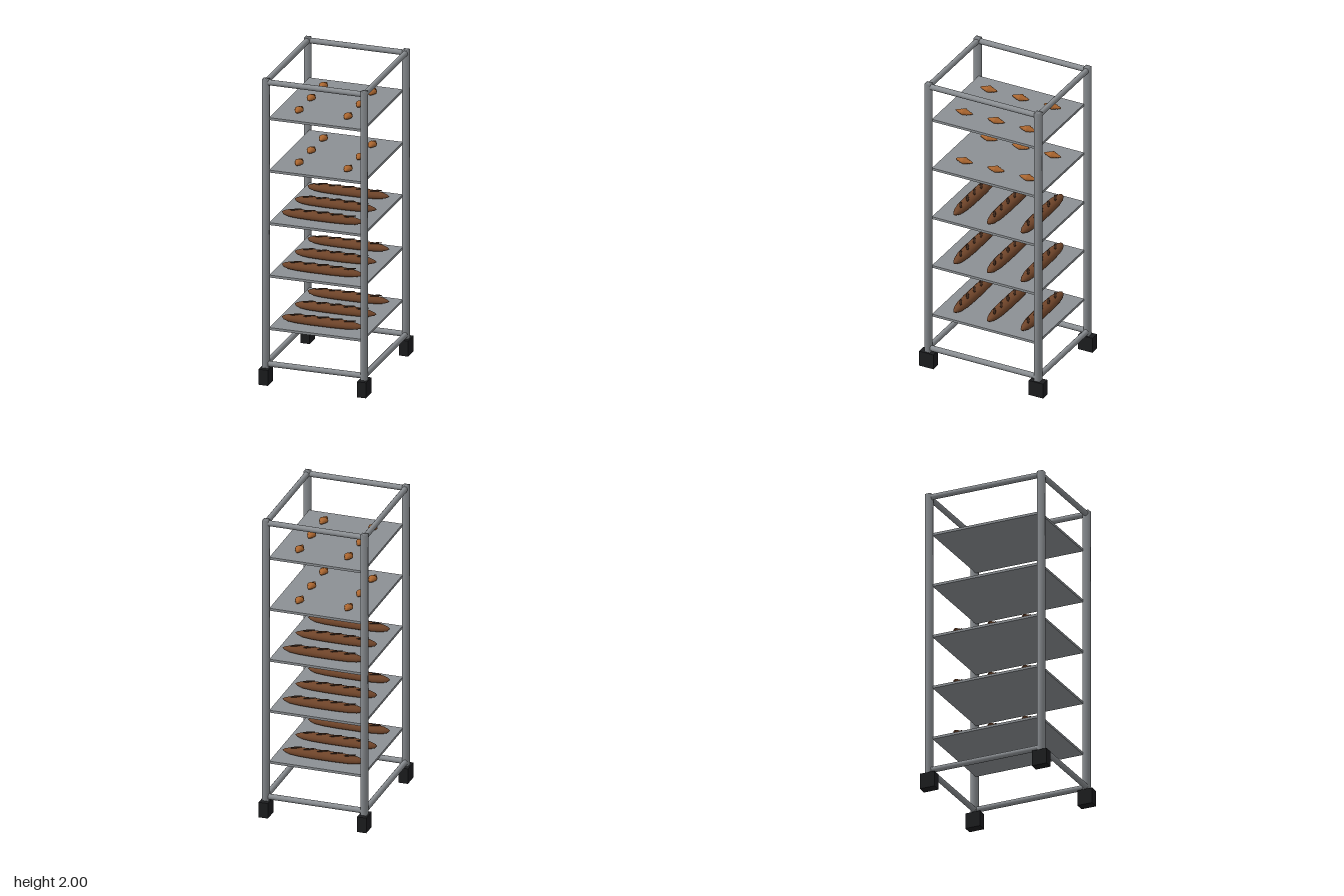
import * as THREE from 'three';
import { mergeVertices } from 'three/addons/utils/BufferGeometryUtils.js';

const material = (color) => new THREE.MeshStandardMaterial({ color });

// Closed loft along z; each section is [z, half width, height, bottom y]
function loft(sections, sides) {
  const pos = [], index = [];
  sections.forEach(([z, w, h, base]) => {
    for (let i = 0; i < sides; i++) {
      const a = (i / sides) * Math.PI * 2, s = Math.sin(a);
      pos.push(w * Math.cos(a), base + h * (0.42 + (s > 0 ? 0.58 : 0.42) * s), z);
    }
  });
  for (let r = 0; r < sections.length - 1; r++) {
    for (let i = 0; i < sides; i++) {
      const a = r * sides + i, b = r * sides + (i + 1) % sides;
      index.push(a, b, b + sides, a, b + sides, a + sides);
    }
  }
  const g = new THREE.BufferGeometry();
  g.setAttribute('position', new THREE.Float32BufferAttribute(pos, 3));
  g.setIndex(index);
  g.computeVertexNormals();
  return g;
}

// Square bar with softened shading
function squareBar(width, length) {
  let g = new THREE.CylinderGeometry(width / Math.SQRT2, width / Math.SQRT2, length, 4);
  g.rotateY(Math.PI / 4);
  g.deleteAttribute('normal');
  g.deleteAttribute('uv');
  g = mergeVertices(g, 1e-4);
  g.computeVertexNormals();
  return g;
}

export function createModel() {
  const model = new THREE.Group();
  const steel = material(0x8c9094), rubber = material(0x1c1d1f);
  const crust = material(0x70452a), scoreBrown = material(0x3a2519), golden = material(0xa9652f);

  const add = (parent, name, geometry, mat, x, y, z) => {
    const mesh = new THREE.Mesh(geometry, mat);
    mesh.name = name;
    mesh.position.set(x, y, z);
    parent.add(mesh);
    return mesh;
  };

  // Corner posts and feet
  const X = 0.321, Z = 0.383, bar = 0.038;
  const post = squareBar(bar, 1.9);
  const foot = new THREE.BoxGeometry(0.06, 0.102, 0.1);
  for (const sx of [-1, 1]) {
    for (const sz of [-1, 1]) {
      add(model, 'post', post, steel, sx * X, 1.05, sz * Z);
      add(model, 'foot', foot, rubber, sx * X, 0.051, sz * Z);
    }
  }

  // Top and bottom rails
  const railX = new THREE.CylinderGeometry(0.018, 0.018, 2 * X, 12).rotateZ(Math.PI / 2);
  const railZ = new THREE.CylinderGeometry(0.018, 0.018, 2 * Z, 12).rotateX(Math.PI / 2);
  for (const y of [0.127, 1.979]) {
    for (const s of [-1, 1]) {
      add(model, 'crossRail', railX, steel, 0, y, s * Z);
      add(model, 'sideRail', railZ, steel, s * X, y, 0);
    }
  }

  // Long loaf: blunt at one end, pointed at the other
  const loaf = loft([
    [-0.27, 0, 0, 0.03], [-0.255, 0.016, 0.026, 0.014], [-0.225, 0.029, 0.043, 0.006],
    [-0.17, 0.039, 0.053, 0.002], [-0.08, 0.042, 0.057, 0], [0.06, 0.042, 0.057, 0],
    [0.15, 0.039, 0.053, 0.002], [0.215, 0.028, 0.041, 0.006], [0.25, 0.013, 0.02, 0.016], [0.266, 0, 0, 0.026],
  ], 14).rotateY(Math.PI / 2);
  const score = new THREE.SphereGeometry(1, 10, 6).scale(0.04, 0.005, 0.009);

  // Croissant: stepped ridges narrowing to both tips
  const half = [[0.061, 0, 0, 0.016], [0.053, 0.006, 0.01, 0.012], [0.039, 0.014, 0.02, 0.006],
    [0.034, 0.013, 0.02, 0.006], [0.022, 0.022, 0.03, 0.002], [0.016, 0.021, 0.029, 0.002]];
  const croissant = loft([
    ...half.map(([z, w, h, b]) => [-z, w, h, b]),
    [-0.004, 0.029, 0.038, 0], [0.004, 0.029, 0.038, 0],
    ...half.slice().reverse(),
  ], 10);

  // Trays with their bread
  const tray = new THREE.BoxGeometry(0.61, 0.016, 0.735);
  for (let level = 0; level < 5; level++) {
    const shelf = new THREE.Group();
    shelf.name = 'shelf';
    shelf.position.y = 0.359 + level * 0.3455;
    model.add(shelf);
    add(shelf, 'tray', tray, steel, 0, -0.008, 0);
    for (const row of [-1, 0, 1]) {
      if (level < 3) {
        const bread = new THREE.Group();
        bread.name = 'baguette';
        bread.position.set(0, 0.001, row * 0.235);
        shelf.add(bread);
        add(bread, 'crust', loaf, crust, 0, 0, 0);
        for (let i = -2; i <= 2; i++) {
          const cut = add(bread, 'score', score, scoreBrown, i * 0.088, 0.057 - Math.abs(i) * 0.0015, 0);
          cut.rotation.y = 0.5;
        }
      } else {
        for (const s of [-1, 1]) {
          add(shelf, 'croissant', croissant, golden, s * 0.16 - 0.002, 0.001, row * 0.222 - 0.002);
        }
      }
    }
  }
  return model;
}
